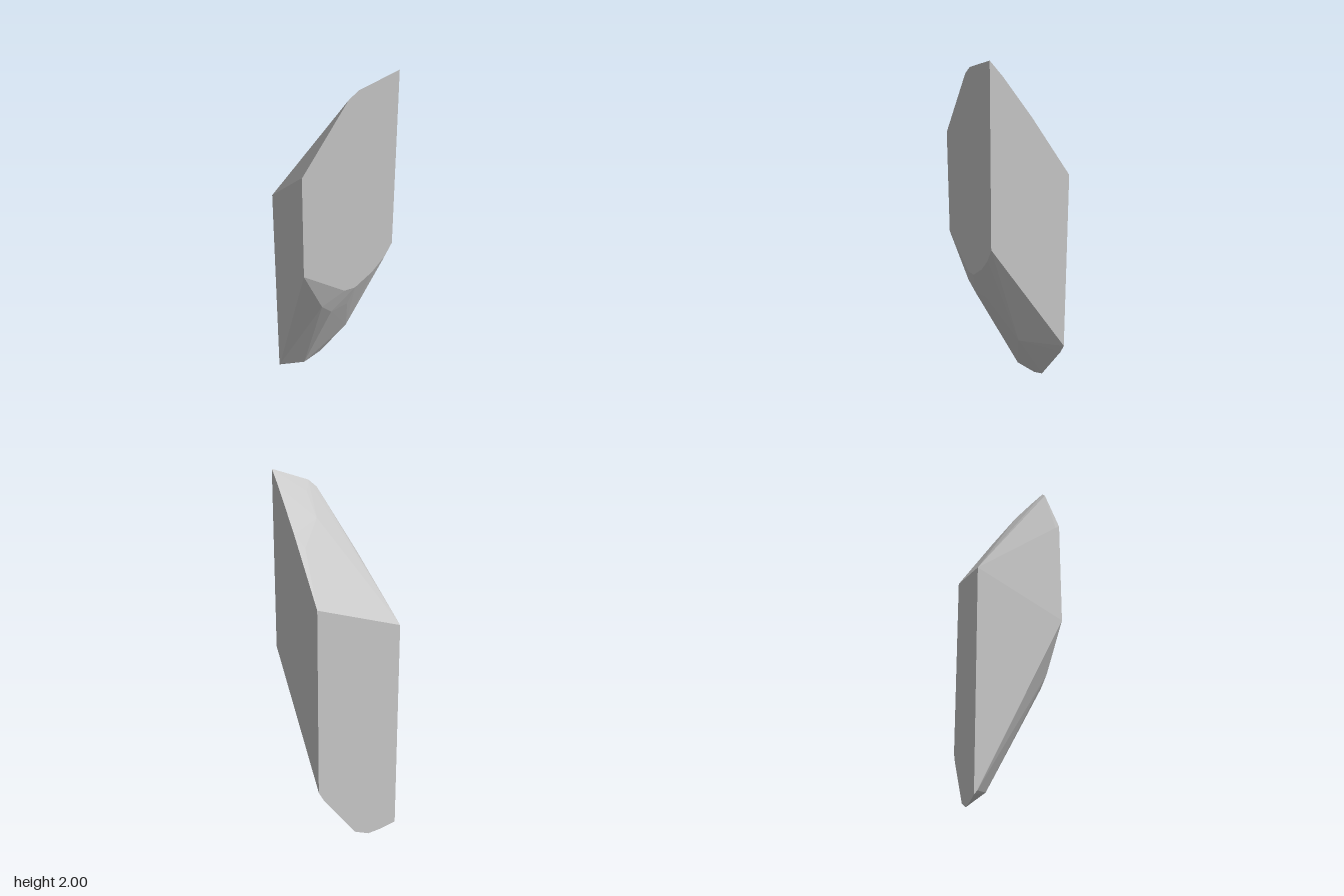
import * as THREE from 'three';
import { ConvexGeometry } from 'three/addons/geometries/ConvexGeometry.js';

const X = 0.25, Z = 0.226;

export function createModel() {
  const group = new THREE.Group();
  group.name = 'stoneShard';
  const stone = new THREE.MeshStandardMaterial({ color: 0xc8c8c8 });
  stone.name = 'pale grey stone';

  // outline of the flat front face, as x, y
  const front = [
    [-X, 1.53], [-0.01, 1.89], [0.04, 1.93], [X, 2.0],
    [X, 1.045], [0.21, 0.97], [0.14, 0.89], [0.04, 0.815], [-0.02, 0.81], [-X, 0.96],
  ];
  // outline of the flat back face, as x, y
  const back = [
    [-X, 1.21], [X, 1.37], [X, 0.355], [0.22, 0.3],
    [0.02, 0.04], [-0.07, 0], [-0.16, 0.005], [-X, 0.02],
  ];
  // chipped facets of the sloping top
  const top = [
    [0.08, 1.76, 0.07], [0.21, 1.637, -0.04], [0.08, 1.88, 0.17],
    [X, 1.705, 0], [X, 1.922, 0.16], [-X, 1.519, 0.205],
  ];
  // chipped facets of the sloping underside
  const underside = [
    [-0.12, 0.065, -0.14], [-X, 0.04, -0.21], [0.1, 0.37, -0.02], [0.12, 0.6, 0.04],
    [-0.13, 0.7, 0.175], [-0.07, 0.64, 0.16], [0.03, 0.66, 0.15],
  ];

  const points = [
    ...front.map(([x, y]) => new THREE.Vector3(x, y, Z)),
    ...back.map(([x, y]) => new THREE.Vector3(x, y, -Z)),
    ...[...top, ...underside].map((p) => new THREE.Vector3(...p)),
  ];
  const shard = new THREE.Mesh(new ConvexGeometry(points), stone);
  shard.name = 'shard';
  group.add(shard);
  return group;
}
